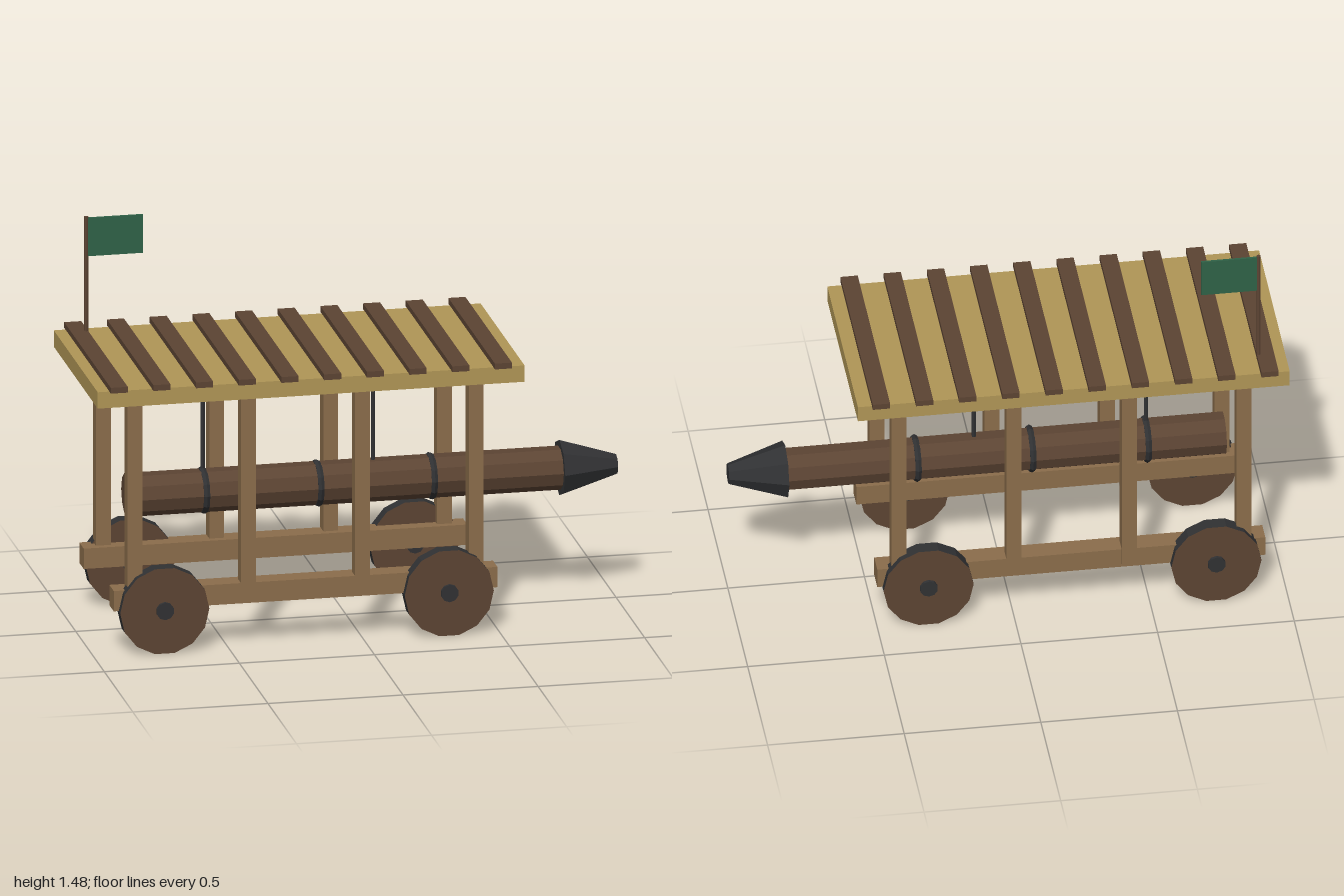
import * as THREE from 'three';

const mat = (name, color) => {
  const m = new THREE.MeshStandardMaterial({ color, flatShading: true });
  m.name = name;
  return m;
};

export function createModel() {
  const model = new THREE.Group();
  model.name = 'coveredBatteringRam';

  const timber = mat('timber', 0x8b6d4b);
  const thatch = mat('roof straw', 0xb09656);
  const darkWood = mat('dark wood', 0x5c4433);
  const iron = mat('iron', 0x303133);
  const cloth = mat('green cloth', 0x2f6247);

  const add = (name, geometry, material, x, y, z) => {
    const mesh = new THREE.Mesh(geometry, material);
    mesh.name = name;
    mesh.position.set(x, y, z);
    model.add(mesh);
    return mesh;
  };
  const box = (w, h, d) => new THREE.BoxGeometry(w, h, d);

  // Roof and its cross slats
  add('roof', box(1.58, 0.062, 0.77), thatch, -0.21, 1.0, 0);
  for (let i = 0; i < 10; i++) {
    add('roofSlat', box(0.063, 0.022, 0.816), darkWood, -0.925 + i * 0.158, 1.041, 0);
  }

  // Side frames: beam, posts, wheels
  for (const s of [-1, 1]) {
    add('sideBeam', box(1.42, 0.077, 0.078), timber, -0.213, 0.208, s * 0.263);
    for (const x of [-0.845, -0.425, -0.003, 0.418]) {
      add('post', box(0.055, 0.79, 0.055), timber, x, 0.576, s * 0.2775);
    }
    for (const x of [-0.74, 0.313]) {
      // iron rim with wooden faces
      const wheel = new THREE.CylinderGeometry(0.165, 0.165, 0.053, 14)
        .rotateY(Math.PI / 14).rotateX(Math.PI / 2);
      add('wheel', wheel, [iron, darkWood, darkWood], x, 0.167, s * 0.303);
      const hub = new THREE.CylinderGeometry(0.033, 0.033, 0.078, 10).rotateX(Math.PI / 2);
      add('hub', hub, iron, x, 0.169, s * 0.302);
    }
  }

  // Ram log with iron head and bands
  const ramY = 0.512;
  const log = new THREE.CylinderGeometry(0.08, 0.08, 1.605, 10).rotateZ(-Math.PI / 2);
  add('ramLog', log, darkWood, -0.0125, ramY, 0);
  const head = new THREE.CylinderGeometry(0.038, 0.105, 0.21, 8).rotateZ(-Math.PI / 2);
  add('ramHead', head, iron, 0.895, ramY, 0);
  for (const x of [-0.53, -0.107, 0.313]) {
    const band = new THREE.TorusGeometry(0.075, 0.013, 6, 12).rotateY(Math.PI / 2);
    add('ramBand', band, iron, x, ramY, 0);
  }

  // Hanging rods
  for (const x of [-0.53, 0.1]) {
    add('hangingRod', new THREE.CylinderGeometry(0.008, 0.008, 0.385, 6), iron, x, 0.765, 0);
  }

  // Flag and pole
  add('flagPole', new THREE.CylinderGeometry(0.008, 0.008, 0.465, 6), darkWood, -0.9, 1.253, -0.29);
  add('flag', box(0.21, 0.145, 0.009), cloth, -0.795, 1.408, -0.29);

  return model;
}
